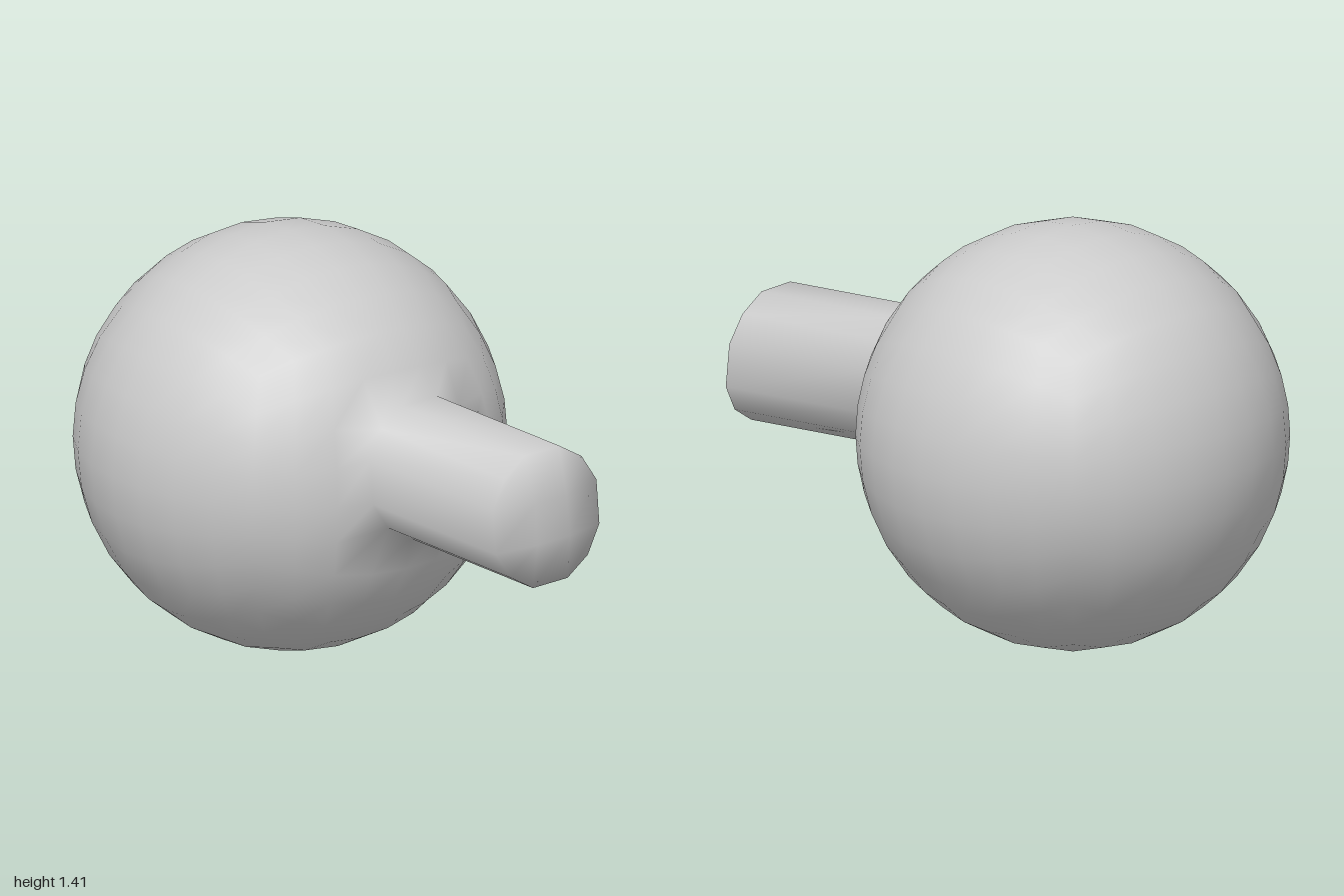
import * as THREE from 'three';
import { mergeVertices } from 'three/addons/utils/BufferGeometryUtils.js';

const R = 0.7075;
const CENTER = new THREE.Vector3(-0.2925, R, 0);
const STUB_SHIFT = new THREE.Vector3(0.585, -0.012, -0.075);
const STUB_RADIUS = 0.234;

function ballWithStub() {
  // Cube grid, welded, to be rounded into a quad sphere
  let box = new THREE.BoxGeometry(2, 2, 2, 8, 8, 8);
  box.deleteAttribute('normal');
  box.deleteAttribute('uv');
  box = mergeVertices(box);
  const pos = box.attributes.position;
  const points = [];
  const inPatch = [];
  const spread = (t) => Math.tan((t * Math.PI) / 4);

  for (let i = 0; i < pos.count; i++) {
    const v = new THREE.Vector3().fromBufferAttribute(pos, i);
    const gy = Math.round(v.y * 4);
    const gz = Math.round(v.z * 4);
    // 3 x 3 cells on the +x side carry the stub
    inPatch[i] = v.x > 0.99 && gy >= -1 && gy <= 2 && gz >= -2 && gz <= 1;
    const p = new THREE.Vector3(spread(v.x), spread(v.y), spread(v.z)).setLength(R);
    if (inPatch[i] && (gy === -1 || gy === 2 || gz === -2 || gz === 1)) {
      // Round the patch border into a 12-sided ring lying on the sphere
      const a = Math.atan2(gy - 0.5, gz + 0.5);
      p.y = 0.07 + STUB_RADIUS * Math.sin(a);
      p.z = -0.067 + STUB_RADIUS * Math.cos(a);
      p.x = Math.sqrt(R * R - p.y * p.y - p.z * p.z);
    }
    points[i] = p.add(CENTER);
  }

  // Pushed-out copies of the patch vertices form the stub's end
  const cap = points.slice().map((p, i) => {
    if (!inPatch[i]) return -1;
    return points.push(p.clone().add(STUB_SHIFT)) - 1;
  });

  const index = [];
  const edges = new Map();
  const quad = (a, b, c, d) => index.push(a, b, d, b, c, d);
  for (let k = 0; k < box.index.count; k += 6) {
    const at = (n) => box.index.getX(k + n);
    const q = [at(0), at(1), at(4), at(2)];
    if (!q.every((i) => inPatch[i])) {
      quad(...q);
      continue;
    }
    quad(...q.map((i) => cap[i]));
    q.forEach((a, n) => edges.set(`${a},${q[(n + 1) % 4]}`, [a, q[(n + 1) % 4]]));
  }

  // Stub walls along the unshared patch edges
  for (const [a, b] of edges.values()) {
    if (!edges.has(`${b},${a}`)) quad(a, b, cap[b], cap[a]);
  }

  const geometry = new THREE.BufferGeometry().setFromPoints(points);
  geometry.setIndex(index);
  geometry.computeVertexNormals();
  return geometry;
}

export function createModel() {
  const group = new THREE.Group();
  const mesh = new THREE.Mesh(
    ballWithStub(),
    new THREE.MeshStandardMaterial({ color: 0xcccccc })
  );
  mesh.name = 'ballWithStub';
  group.add(mesh);
  return group;
}
